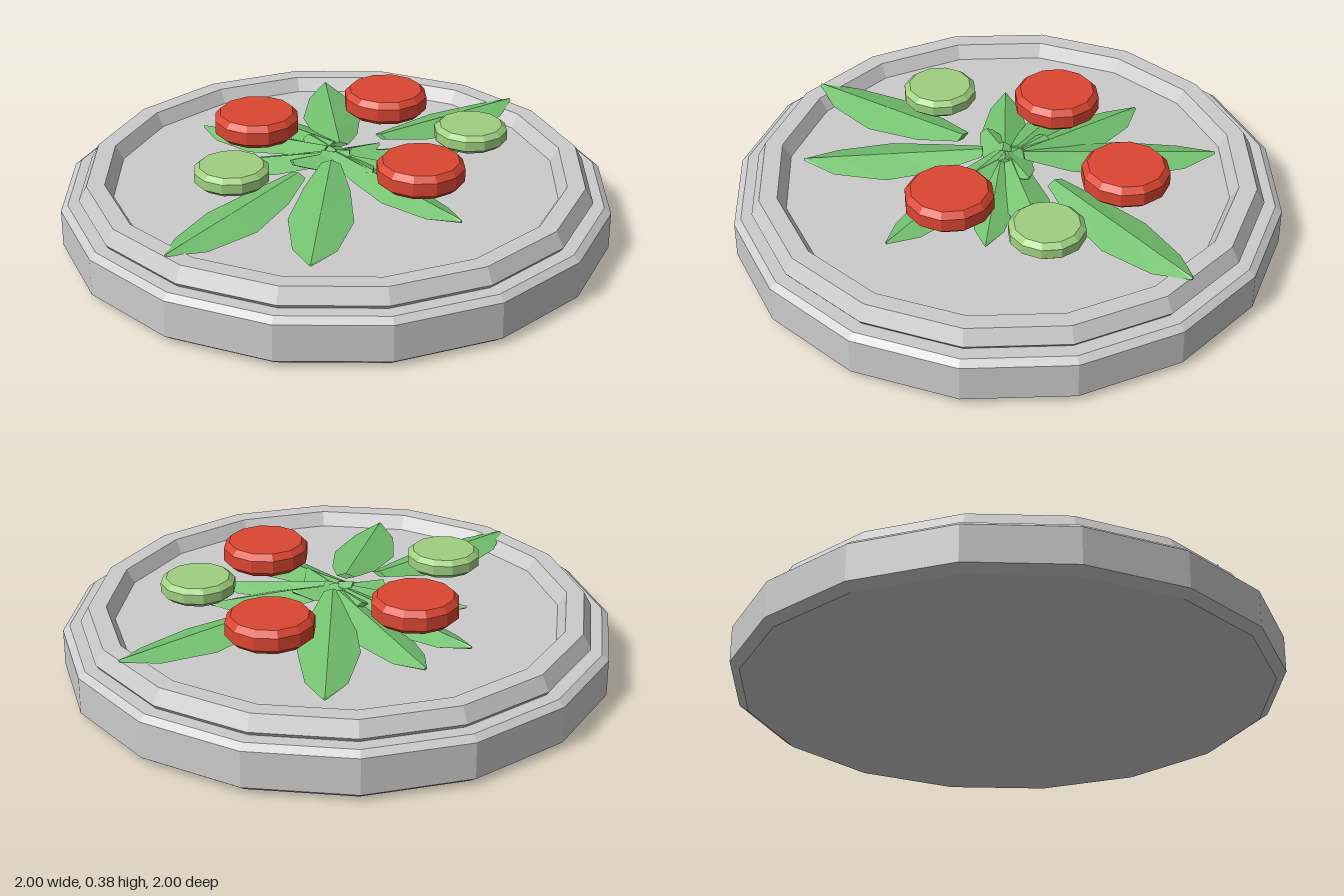
import * as THREE from 'three';

const material = (color) => new THREE.MeshStandardMaterial({ color, flatShading: true });

// Faceted round part from an [radius, height] profile, listed bottom to top
function turned(name, profile, sides, mat) {
  const points = profile.map(([r, y]) => new THREE.Vector2(r, y));
  const mesh = new THREE.Mesh(new THREE.LatheGeometry(points, sides), mat);
  mesh.name = name;
  return mesh;
}

// Leaf: diamond cross-sections (side, ridge, side, keel) from base to tip
function leafGeometry([x0, z0], [x1, z1], width, y0, y1) {
  const dir = new THREE.Vector2(x1 - x0, z1 - z0).normalize();
  const side = [dir.y, -dir.x];
  // [distance along leaf, share of width, ridge height over edge]
  const sections = [
    [0, 0.3, 0.012], [0.22, 0.72, 0.03], [0.52, 1, 0.035], [0.82, 0.66, 0.025], [1, 0.06, 0.006],
  ];
  const positions = [];
  const index = [];
  sections.forEach(([t, w, rise], i) => {
    const x = x0 + (x1 - x0) * t;
    const z = z0 + (z1 - z0) * t;
    const y = y0 + (y1 - y0) * t;
    const h = (w * width) / 2;
    positions.push(
      x + side[0] * h, y - rise, z + side[1] * h,
      x, y, z,
      x - side[0] * h, y - rise, z - side[1] * h,
      x, y - rise * 1.8, z,
    );
    if (i === 0) return;
    for (let j = 0; j < 4; j++) {
      const a = (i - 1) * 4 + j;
      const b = (i - 1) * 4 + ((j + 1) % 4);
      index.push(a, b, b + 4, a, b + 4, a + 4);
    }
  });
  // Closed ends
  const e = (sections.length - 1) * 4;
  index.push(0, 2, 1, 0, 3, 2, e, e + 1, e + 2, e, e + 2, e + 3);
  const geometry = new THREE.BufferGeometry();
  geometry.setAttribute('position', new THREE.Float32BufferAttribute(positions, 3));
  geometry.setIndex(index);
  geometry.computeVertexNormals();
  return geometry;
}

export function createModel() {
  const model = new THREE.Group();
  model.name = 'saladPlate';

  const plateMat = material(0xcccccc);
  const leafMat = material(0x74c270);
  const tomatoMat = material(0xdb4632);
  const cucumberMat = material(0x9fcf80);

  // Plate base with bevelled edges
  model.add(turned('plateBase', [
    [0, 0], [0.965, 0], [1, 0.025], [1, 0.16], [0.975, 0.18], [0, 0.18],
  ], 16, plateMat));

  // Raised rim and sunken floor
  model.add(turned('plateRim', [
    [0.92, 0.175], [0.935, 0.195], [0.905, 0.25], [0.84, 0.25], [0.81, 0.2], [0, 0.2],
  ], 16, plateMat));

  // Leaves: base, tip, width, base height, tip height
  const leaves = new THREE.Group();
  leaves.name = 'leaves';
  [
    [[0, -0.06], [-0.2, -0.74], 0.22, 0.32, 0.255],
    [[0.13, -0.19], [0.545, -0.715], 0.22, 0.305, 0.262],
    [[-0.02, -0.06], [-0.45, -0.42], 0.2, 0.318, 0.25],
    [[-0.04, -0.03], [-0.56, -0.23], 0.18, 0.314, 0.258],
    [[0.05, 0.0], [-0.46, 0.08], 0.17, 0.319, 0.258],
    [[-0.1, 0.18], [-0.41, 0.79], 0.23, 0.3, 0.258],
    [[0, 0.09], [0.07, 0.74], 0.23, 0.316, 0.25],
    [[0, 0.02], [0.51, 0.34], 0.18, 0.318, 0.255],
    [[-0.05, 0.02], [0.47, 0], 0.16, 0.32, 0.255],
    [[0, 0], [0.42, -0.2], 0.17, 0.317, 0.265],
    [[-0.13, -0.12], [0.16, 0.12], 0.17, 0.312, 0.305],
    [[-0.14, 0.1], [0.14, -0.1], 0.17, 0.308, 0.312],
  ].forEach((spec) => {
    const leaf = new THREE.Mesh(leafGeometry(...spec), leafMat);
    leaf.name = 'leaf';
    leaves.add(leaf);
  });
  model.add(leaves);

  // Vegetable slices laid over the leaves
  const tomatoProfile = [[0, 0.29], [0.135, 0.29], [0.158, 0.31], [0.158, 0.358], [0.138, 0.38], [0, 0.38]];
  const cucumberProfile = [[0, 0.3], [0.113, 0.3], [0.135, 0.318], [0.135, 0.353], [0.115, 0.37], [0, 0.37]];
  [[0.1, -0.44], [-0.33, -0.135], [0.335, 0.15]].forEach(([x, z]) => {
    const slice = turned('tomatoSlice', tomatoProfile, 12, tomatoMat);
    slice.position.set(x, 0, z);
    model.add(slice);
  });
  [[0.46, -0.21], [-0.31, 0.305]].forEach(([x, z]) => {
    const slice = turned('cucumberSlice', cucumberProfile, 12, cucumberMat);
    slice.position.set(x, 0, z);
    model.add(slice);
  });

  return model;
}
